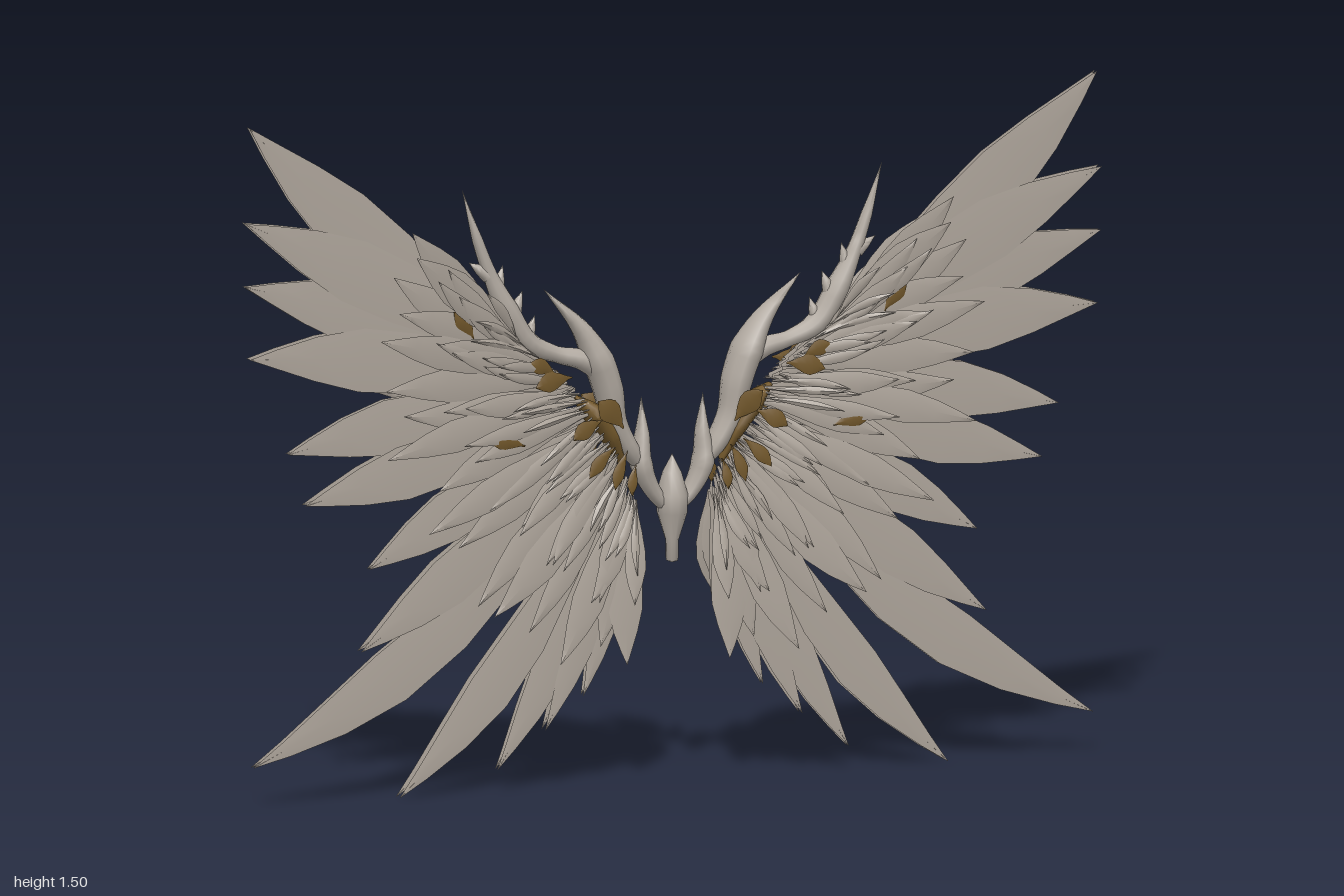
import * as THREE from 'three';
import { mergeGeometries, toCreasedNormals } from 'three/addons/utils/BufferGeometryUtils.js';

const mat = (name, color) => Object.assign(new THREE.MeshStandardMaterial({ color }), { name });

// Small seeded generator for feather variation
function seeded(seed) {
  return () => {
    seed = (seed * 16807) % 2147483647;
    return seed / 2147483647;
  };
}

// Skin elliptical rings along a path: w = half width in the xy plane, d = half depth in z
function loft(points, w, d, sides) {
  const pos = [], index = [];
  points.forEach((p, i) => {
    const a = points[Math.max(i - 1, 0)], b = points[Math.min(i + 1, points.length - 1)];
    const len = Math.hypot(b.x - a.x, b.y - a.y) || 1;
    const nx = -(b.y - a.y) / len, ny = (b.x - a.x) / len;
    for (let j = 0; j < sides; j++) {
      const t = (j / sides) * Math.PI * 2;
      const c = Math.cos(t) * Math.max(w[i], 0.0004), s = Math.sin(t) * Math.max(d[i], 0.0004);
      pos.push(p.x + nx * c, p.y + ny * c, p.z + s);
      if (i < points.length - 1) {
        const k = i * sides, j2 = (j + 1) % sides;
        index.push(k + j, k + j2, k + sides + j2, k + j, k + sides + j2, k + sides + j);
      }
    }
  });
  const g = new THREE.BufferGeometry();
  g.setAttribute('position', new THREE.Float32BufferAttribute(pos, 3));
  g.setIndex(index);
  return toCreasedNormals(g, 0.95);
}

// Smooth tapering bone through stations [x, y, radius]
function bone(side, stations, depth = 1) {
  const curve = new THREE.CatmullRomCurve3(stations.map(([x, y]) => new THREE.Vector3(x * side, y, 0)));
  const n = (stations.length - 1) * 4, pts = [], r = [];
  for (let i = 0; i <= n; i++) {
    pts.push(curve.getPoint(i / n));
    const k = Math.min(Math.floor(i / 4), stations.length - 2);
    r.push(THREE.MathUtils.lerp(stations[k][2], stations[k + 1][2], i / 4 - k));
  }
  return loft(pts, r, r.map((v) => v * depth), 10);
}

// Curved blade with a shallow central ridge
const BLADE_T = [0, 0.12, 0.3, 0.5, 0.66, 0.8, 0.92, 1];
const BLADE_W = [0.08, 0.2, 0.6, 0.95, 1, 0.7, 0.3, 0];
function feather(side, root, tip, width, bend, thick = 0.002) {
  const dx = tip.x - root.x, dy = tip.y - root.y, len = Math.hypot(dx, dy);
  const mid = root.clone().lerp(tip, 0.5);
  mid.x -= (dy / len) * bend * 2;
  mid.y += (dx / len) * bend * 2;
  const curve = new THREE.QuadraticBezierCurve3(root, mid, tip);
  const pts = BLADE_T.map((t) => {
    const p = curve.getPoint(t);
    p.x *= side;
    return p;
  });
  return loft(pts, BLADE_W.map((w) => w * width), BLADE_W.map((w) => 0.0008 + w * thick), 4);
}

// Line along the arm from which all feathers grow
const ROOTS = new THREE.CatmullRomCurve3(
  [[0.09, 0.62], [0.13, 0.72], [0.19, 0.83], [0.28, 0.92], [0.38, 1.0]].map(([x, y]) => new THREE.Vector3(x, y, 0)));

// Flight feathers: [root position on arm, tip x, tip y, half width, bend]
const FLIGHT = [
  [0.78, 0.99, 1.5, 0.07, -0.03], [0.72, 1, 1.29, 0.07, 0.012], [0.68, 1, 1.15, 0.07, 0.015],
  [0.62, 0.99, 0.99, 0.07, 0.025], [0.56, 0.9, 0.775, 0.062, 0.02], [0.5, 0.86, 0.66, 0.06, 0],
  [0.45, 0.71, 0.51, 0.056, 0], [0.4, 0.73, 0.33, 0.056, -0.02], [0.34, 0.98, 0.09, 0.062, -0.07],
  [0.26, 0.64, 0.003, 0.052, -0.05], [0.18, 0.41, 0.05, 0.042, -0.025], [0.12, 0.3, 0.13, 0.034, -0.015],
  [0.05, 0.21, 0.2, 0.028, -0.01],
];

// Covert tiers: [name, count, length factor, half width, base z, tip z, jitter]
const COVERTS = [
  ['longCoverts', 17, 1, 0.034, 0.016, 0.038, 0.08],
  ['middleCoverts', 19, 0.68, 0.022, 0.022, 0.046, 0.16],
  ['shortCoverts', 24, 0.42, 0.011, 0.026, 0.05, 0.28],
];

function covertTier(side, face, [, count, length, width, z0, z1, jitter], rand) {
  const list = [];
  for (let i = 0; i < count; i++) {
    const u = (i + 0.3 + rand() * 0.4) / count;
    const root = ROOTS.getPoint(u);
    const angle = THREE.MathUtils.degToRad(-84 + 130 * u) + (rand() - 0.5) * jitter * 2;
    const len = (0.37 + 0.1 * Math.sin(u * Math.PI)) * length * (0.85 + rand() * 0.2);
    const flare = z1 + u * 0.022 + (rand() - 0.5) * 0.026;
    root.z = face * z0;
    const tip = new THREE.Vector3(root.x + Math.cos(angle) * len, root.y + Math.sin(angle) * len, face * flare);
    list.push(feather(side, root, tip, width * (0.8 + rand() * 0.4), (rand() - 0.6) * 0.03, 0.004));
  }
  return mergeGeometries(list);
}

// Golden scraps among the coverts: [x, y, angle, length, half width]
const SCRAPS = [
  [0.25, 0.91, -0.2, 0.09, 0.022], [0.29, 0.92, 0.4, 0.07, 0.018], [0.48, 1.01, 0.9, 0.08, 0.018],
  [0.36, 0.765, 0.2, 0.09, 0.018], [0.12, 0.74, -1.2, 0.09, 0.014], [0.15, 0.75, -0.8, 0.09, 0.016],
  [0.1, 0.71, -1.4, 0.07, 0.012], [0.18, 0.81, -0.5, 0.08, 0.02], [0.13, 0.79, 0.8, 0.09, 0.026],
];

function buildWing(side, m) {
  const wing = new THREE.Group();
  wing.name = side > 0 ? 'leftWing' : 'rightWing';
  const add = (name, geo, material) => {
    const mesh = new THREE.Mesh(geo, material);
    mesh.name = name;
    wing.add(mesh);
  };

  for (const face of [1, -1]) {
    // Two thin layers of long flight feathers
    const layer = FLIGHT.map(([u, x, y, w, bend], i) => {
      const z = face * (0.007 + (i % 2) * 0.004);
      const root = ROOTS.getPoint(u);
      root.z = z;
      return feather(side, root, new THREE.Vector3(x, y, z), w, bend);
    });
    add(face > 0 ? 'frontFlightFeathers' : 'backFlightFeathers', mergeGeometries(layer), m.feather);

    // Flaring coverts on both faces
    const rand = seeded(face > 0 ? 411 : 977);
    for (const tier of COVERTS) add(tier[0], covertTier(side, face, tier, rand), m.feather);

    add('goldScraps', mergeGeometries(SCRAPS.map(([x, y, a, l, w]) => feather(side,
      new THREE.Vector3(x, y, face * 0.042),
      new THREE.Vector3(x + Math.cos(a) * l, y + Math.sin(a) * l, face * 0.05), w, 0.004, 0.004))), m.gold);
  }

  // Golden sinew beside the upper arm
  add('sinew', bone(side, [[0.115, 0.7, 0.006], [0.145, 0.765, 0.02], [0.185, 0.82, 0.024], [0.23, 0.86, 0.005]], 1.9), m.gold);

  // Arm bones, hooked spikes and barbs
  add('shoulderSpike', bone(side, [[0.01, 0.6, 0.014], [0.045, 0.64, 0.018], [0.072, 0.7, 0.024],
    [0.07, 0.77, 0.015], [0.072, 0.85, 0]], 1.5), m.bone);
  add('upperArm', bone(side, [[0.06, 0.68, 0.01], [0.1, 0.735, 0.022], [0.135, 0.8, 0.026], [0.15, 0.87, 0.032],
    [0.175, 0.94, 0.034], [0.215, 1.01, 0.02], [0.3, 1.1, 0]], 1.5), m.bone);
  add('forearm', bone(side, [[0.15, 0.88, 0.018], [0.2, 0.935, 0.024], [0.27, 0.955, 0.018], [0.335, 0.985, 0.024],
    [0.385, 1.06, 0.026], [0.425, 1.14, 0.016], [0.455, 1.22, 0.012], [0.49, 1.33, 0]], 1.2), m.bone);
  const barbs = [[0.34, 0.99, 0.32, 1.045], [0.37, 1.05, 0.35, 1.1], [0.41, 1.1, 0.395, 1.16], [0.43, 1.14, 0.475, 1.17]];
  add('barbs', mergeGeometries(barbs.map(([x, y, x2, y2]) =>
    bone(side, [[x, y, 0.018], [(x + x2) / 2, (y + y2) / 2, 0.011], [x2, y2, 0]]))), m.bone);
  return wing;
}

export function createModel() {
  const model = new THREE.Group();
  model.name = 'wings';
  const m = {
    feather: mat('featherGrey', 0xaea59b),
    bone: mat('boneGrey', 0xb2aaa1),
    gold: mat('agedGold', 0x74592c),
  };
  m.feather.side = THREE.DoubleSide;

  // Spindle-shaped centre joining the wings
  const profile = [[0, 0.48], [0.013, 0.485], [0.014, 0.53], [0.032, 0.59], [0.034, 0.63], [0.02, 0.68], [0, 0.72]];
  const core = new THREE.Mesh(new THREE.LatheGeometry(profile.map(([x, y]) => new THREE.Vector2(x, y)), 12), m.bone);
  core.name = 'centrePiece';
  core.scale.z = 1.25;
  model.add(core, buildWing(1, m), buildWing(-1, m));
  return model;
}
